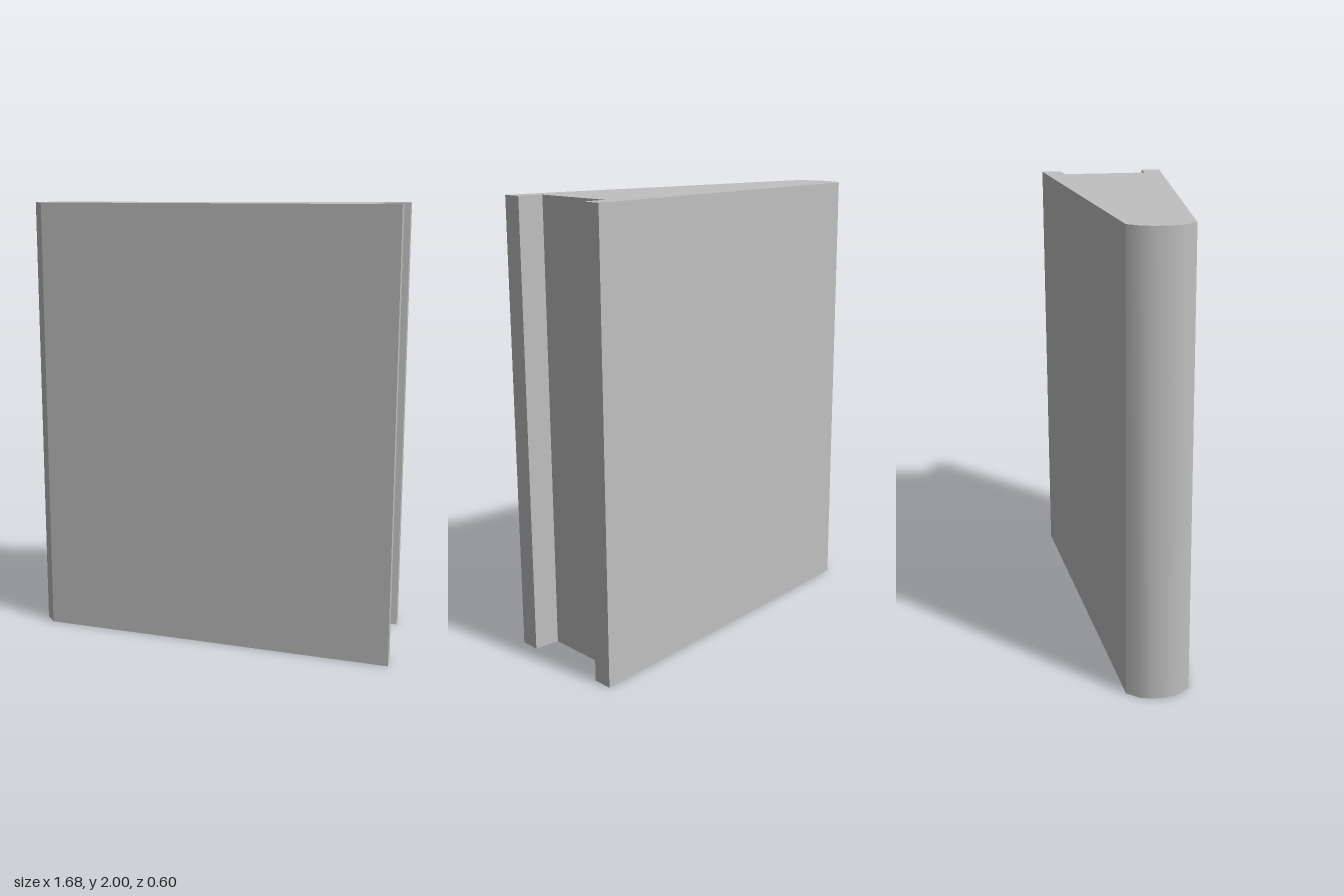
import * as THREE from 'three';
import { toCreasedNormals } from 'three/addons/utils/BufferGeometryUtils.js';

const HEIGHT = 2;

// Plan outline as [x, z]: tapered panel, rounded nose at -x, channel at +x
const outline = [
  [0.84, 0.295], [0.84, 0.205], [0.725, 0.197], [0.725, -0.198], [0.84, -0.21], [0.84, -0.3],
  [-0.787, -0.143], [-0.83, -0.09], [-0.844, -0.04], [-0.845, 0.015], [-0.834, 0.07], [-0.787, 0.129],
];

export function createModel() {
  const grey = new THREE.MeshStandardMaterial({ color: 0xc0c0c0 });
  grey.name = 'light grey';

  // Extrude the plan straight up
  const shape = new THREE.Shape(outline.map(([x, z]) => new THREE.Vector2(x, -z)));
  const extruded = new THREE.ExtrudeGeometry(shape, { depth: HEIGHT, bevelEnabled: false });
  extruded.rotateX(-Math.PI / 2);

  // Smooth the nose, keep all other edges sharp
  const panel = new THREE.Mesh(toCreasedNormals(extruded, 0.65), grey);
  panel.name = 'taperedPanel';

  const model = new THREE.Group();
  model.name = 'channelledPanel';
  model.add(panel);
  return model;
}
